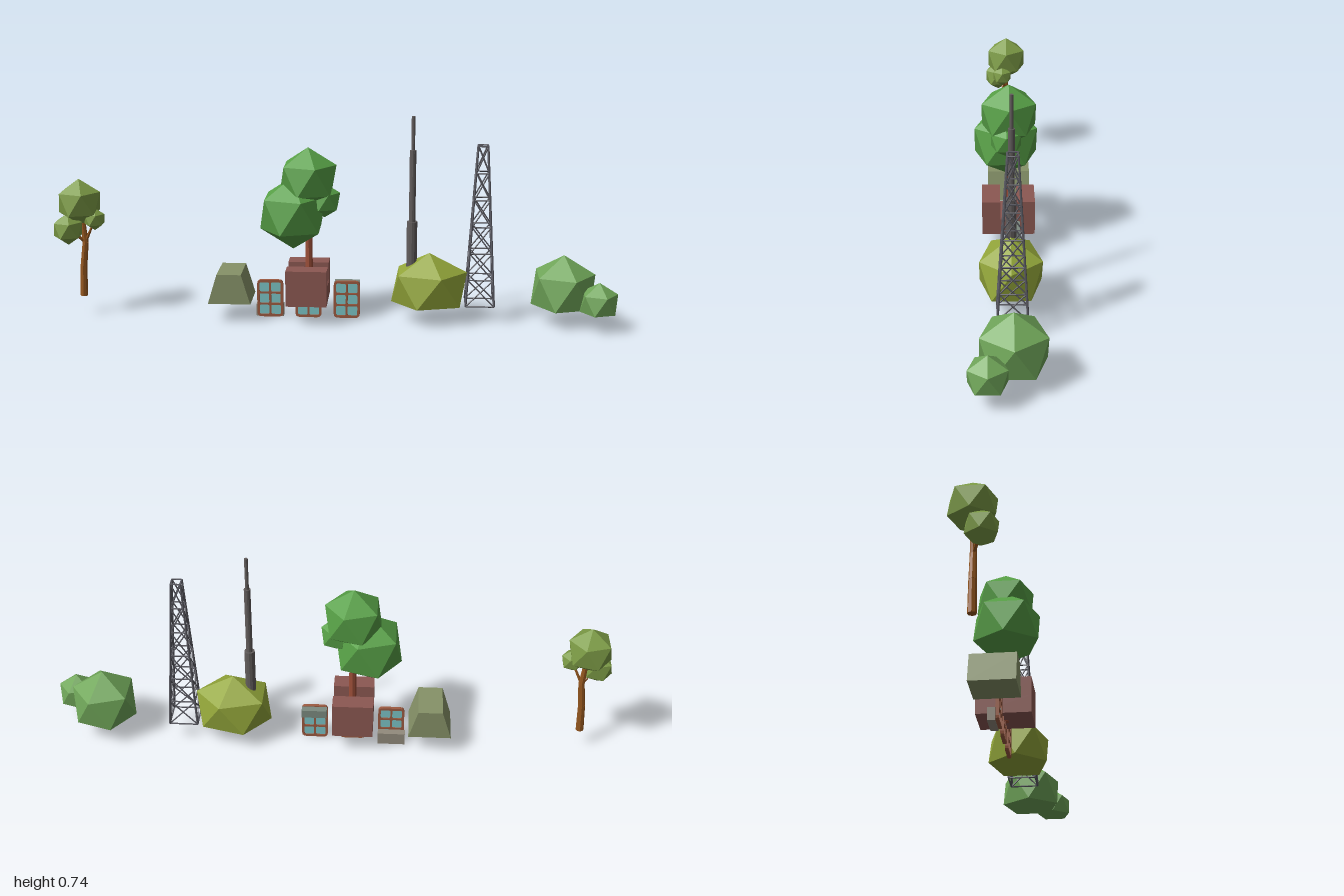
import * as THREE from 'three';

const Z = -0.02; // line on which the props stand
const GROUND = 0.07;

function mat(color, extra = {}) {
  const m = new THREE.MeshStandardMaterial({ color, flatShading: true, ...extra });
  return m;
}

function add(parent, name, geo, material, x = 0, y = 0, z = 0) {
  const mesh = new THREE.Mesh(geo, material);
  mesh.name = name;
  mesh.position.set(x, y, z);
  parent.add(mesh);
  return mesh;
}

function group(parent, name) {
  const g = new THREE.Group();
  g.name = name;
  parent.add(g);
  return g;
}

// Icosahedron standing on a corner; flatBase lifts the lowest corner to its ring
function ball(r, flatBase = false) {
  const geo = new THREE.IcosahedronGeometry(r, 0);
  geo.rotateZ(-Math.atan(2 / (1 + Math.sqrt(5))));
  if (flatBase) {
    const p = geo.attributes.position;
    for (let i = 0; i < p.count; i++) if (p.getY(i) < -0.9 * r) p.setY(i, -0.447 * r);
    geo.computeVertexNormals();
  }
  return geo;
}

// Tapered bar between two points
function bar(parent, name, a, b, r0, r1, material, sides = 6) {
  const d = new THREE.Vector3().subVectors(b, a);
  const m = add(parent, name, new THREE.CylinderGeometry(r1, r0, d.length(), sides), material);
  m.position.copy(a).addScaledVector(d, 0.5);
  m.quaternion.setFromUnitVectors(new THREE.Vector3(0, 1, 0), d.normalize());
  return m;
}

const v = (x, y, z) => new THREE.Vector3(x, y, z);

function roundedRect(path, x, y, w, h, r) {
  path.moveTo(x + r, y);
  path.lineTo(x + w - r, y);
  path.quadraticCurveTo(x + w, y, x + w, y + r);
  path.lineTo(x + w, y + h - r);
  path.quadraticCurveTo(x + w, y + h, x + w - r, y + h);
  path.lineTo(x + r, y + h);
  path.quadraticCurveTo(x, y + h, x, y + h - r);
  path.lineTo(x, y + r);
  path.quadraticCurveTo(x, y, x + r, y);
  return path;
}

// Frame with two columns and three rows of panes
function windowUnit(parent, name, x) {
  const g = group(parent, name);
  const w = 0.094, h = 0.137, rim = 0.009, gap = 0.007;
  const shape = roundedRect(new THREE.Shape(), -w / 2, 0, w, h, 0.016);
  const pw = (w - 2 * rim - gap) / 2, ph = (h - 2 * rim - 2 * gap) / 3;
  for (let c = 0; c < 2; c++) for (let r = 0; r < 3; r++) {
    shape.holes.push(roundedRect(new THREE.Path(), -w / 2 + rim + c * (pw + gap), rim + r * (ph + gap), pw, ph, 0.005));
  }
  const frame = new THREE.ExtrudeGeometry(shape, { depth: 0.012, bevelEnabled: false, curveSegments: 3 });
  add(g, 'frame', frame, mat(0x9c5a40), 0, 0, -0.006);
  add(g, 'glass', new THREE.BoxGeometry(w - 0.012, h - 0.012, 0.004), mat(0x7cc4c6), 0, h / 2, 0);
  g.position.set(x, 0.003, -0.024);
}

// Square lattice mast with cross bracing on all four faces
function latticeTower(parent) {
  const g = group(parent, 'latticeTower');
  const steel = mat(0x5a5a62);
  const levels = 6, bottom = 0.05, top = 0.017, height = 0.57;
  const corner = (level, k) => {
    const t = level / levels, s = bottom + (top - bottom) * t;
    const sx = [1, 1, -1, -1][k % 4], sz = [1, -1, -1, 1][k % 4];
    return v(sx * s, t * height, sz * s);
  };
  for (let k = 0; k < 4; k++) {
    bar(g, 'leg', corner(0, k), corner(levels, k), 0.0042, 0.0036, steel);
    for (let i = 0; i < levels; i++) {
      bar(g, 'brace', corner(i, k), corner(i + 1, k + 1), 0.0026, 0.0026, steel, 5);
      bar(g, 'brace', corner(i, k + 1), corner(i + 1, k), 0.0026, 0.0026, steel, 5);
      bar(g, 'crossbar', corner(i + 1, k), corner(i + 1, k + 1), 0.0028, 0.0028, steel, 5);
    }
    bar(g, 'crossbar', corner(0, k), corner(0, k + 1), 0.0028, 0.0028, steel, 5);
  }
  g.position.set(0.52, GROUND, Z);
}

export function createModel() {
  const model = new THREE.Group();
  model.name = 'propSet';

  // Small bent tree
  const small = group(model, 'smallTree');
  const bark = mat(0x95571f);
  const pts = [v(-0.908, GROUND, Z), v(-0.904, 0.18, Z), v(-0.894, 0.27, Z), v(-0.903, 0.38, Z)];
  const rad = [0.014, 0.0125, 0.011, 0.008];
  for (let i = 0; i < 3; i++) bar(small, 'trunk', pts[i], pts[i + 1], rad[i], rad[i + 1], bark, 8);
  bar(small, 'branch', pts[2], v(-0.94, 0.32, 0.005), 0.006, 0.004, bark);
  bar(small, 'branch', pts[2], v(-0.857, 0.35, -0.008), 0.006, 0.004, bark);
  const smallLeaf = mat(0x7d9c46);
  for (const [x, y, z, r] of [[-0.91, 0.417, -0.022, 0.085], [-0.948, 0.325, 0.01, 0.058], [-0.854, 0.36, -0.005, 0.041]])
    add(small, 'foliage', ball(r), smallLeaf, x, y, z);

  // Tall tree
  const tall = group(model, 'tallTree');
  bar(tall, 'trunk', v(-0.088, GROUND, Z), v(-0.088, 0.45, Z), 0.0145, 0.011, mat(0x9c4e38), 8);
  const leaf = mat(0x57a046);
  for (const [x, y, z, r] of [[-0.09, 0.515, -0.018, 0.112], [-0.143, 0.393, -0.008, 0.131], [-0.032, 0.44, -0.008, 0.062]])
    add(tall, 'foliage', ball(r), leaf, x, y, z);

  // Planter block with a groove around the trunk
  const planter = group(model, 'planter');
  const clay = mat(0x8c5852);
  add(planter, 'planterBase', new THREE.BoxGeometry(0.145, 0.06, 0.19), clay, -0.092, 0.102, -0.017);
  for (const s of [1, -1])
    add(planter, 'planterWall', new THREE.BoxGeometry(0.145, 0.07, 0.065), clay, -0.092, 0.166, -0.017 + s * 0.0625);

  // Windows and the boxes behind them
  windowUnit(model, 'leftWindow', -0.229);
  windowUnit(model, 'middleWindow', -0.091);
  windowUnit(model, 'rightWindow', 0.047);
  add(model, 'lowBox', new THREE.BoxGeometry(0.098, 0.045, 0.027), mat(0x928a7c), -0.231, 0.0235, -0.043);
  add(model, 'highBox', new THREE.BoxGeometry(0.09, 0.03, 0.027), mat(0x7c8a80), 0.048, 0.122, -0.043);

  // Tapered block
  const wedge = new THREE.BoxGeometry(0.152, 0.108, 0.156);
  const wp = wedge.attributes.position;
  for (let i = 0; i < wp.count; i++) if (wp.getY(i) > 0) wp.setX(i, wp.getX(i) * 0.57);
  wedge.computeVertexNormals();
  add(model, 'taperedBlock', wedge, mat(0x869268), -0.368, GROUND + 0.054, -0.022);

  // Stepped pole
  const pole = group(model, 'steppedPole');
  const poleMat = mat(0x625d5c);
  for (const [y0, y1, r] of [[0.07, 0.365, 0.0185], [0.365, 0.62, 0.0115], [0.62, 0.74, 0.0065]])
    add(pole, 'poleSection', new THREE.CylinderGeometry(r, r, y1 - y0, 12), poleMat, 0.277, (y0 + y1) / 2, Z);

  latticeTower(model);

  // Bushes
  const bush = (name, r, x, z, color, sx = 1) =>
    add(model, name, ball(r, true), mat(color), x, GROUND + 0.447 * r, z).scale.set(sx, 1, 1);
  bush('oliveBush', 0.125, 0.34, -0.018, 0x93a63a, 1.2);
  bush('greenBush', 0.125, 0.814, -0.018, 0x70a659);
  bush('smallGreenBush', 0.073, 0.931, 0.063, 0x70a659);

  return model;
}
